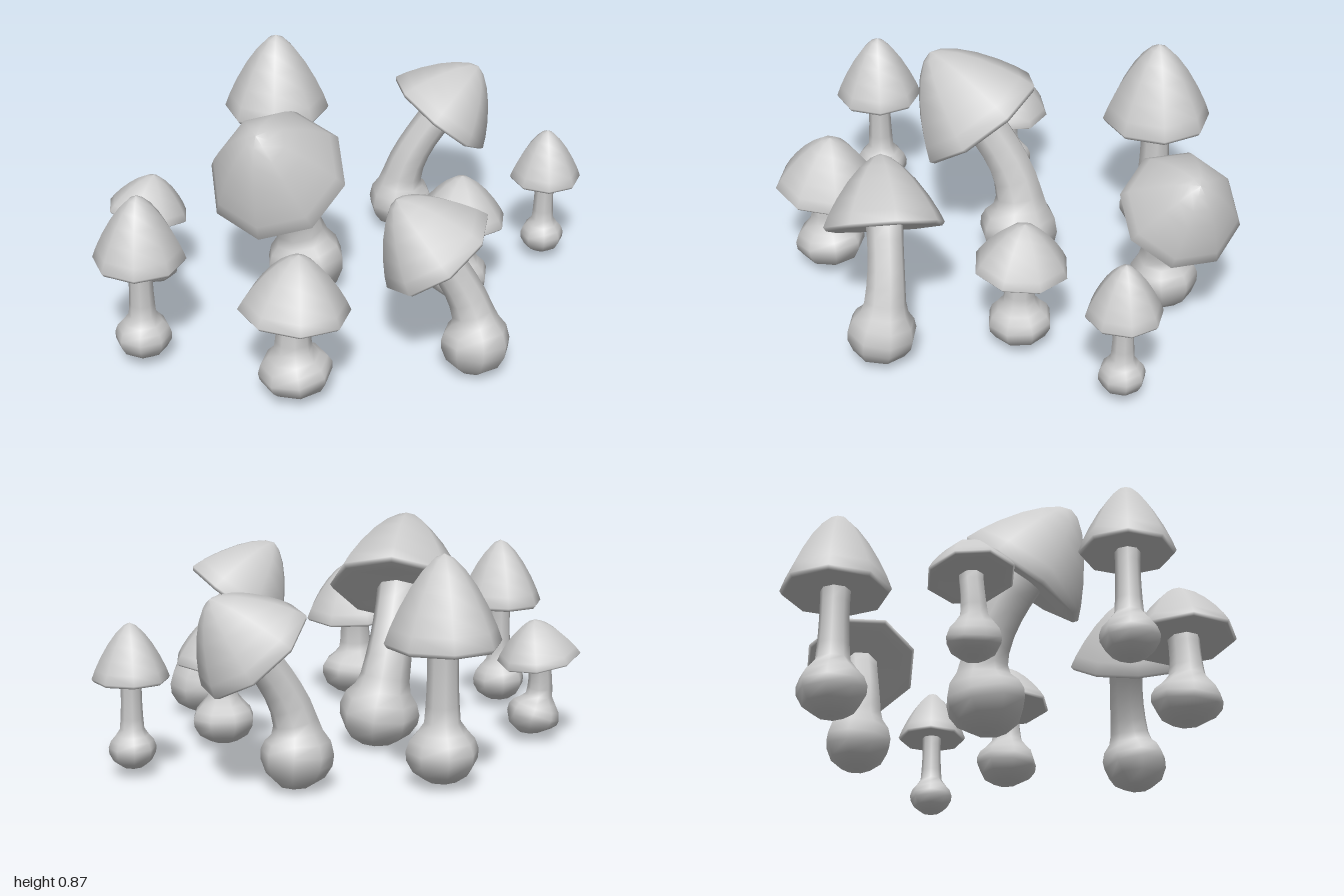
import * as THREE from 'three';

const SIDES = 8;
const UP = new THREE.Vector3(0, 1, 0);
const material = new THREE.MeshStandardMaterial({ color: 0xcccccc });

// Cap profile as [radius, height] fractions: nearly flat underside, rounded rim, then dome to the tip
const CAP = [
  [0, 0.03], [0.4, 0.02], [0.75, 0], [0.95, -0.01], [1, 0.04],
  [0.91, 0.2], [0.76, 0.41], [0.56, 0.64], [0.36, 0.82], [0.16, 0.95], [0, 1],
];

// Bulb profile as [radius, height] fractions
const BULB = [[0, 0], [0.45, 0.03], [0.8, 0.19], [0.98, 0.41], [1, 0.58], [0.9, 0.77], [0.7, 0.92]];

// One mushroom each: base and rim centre positions, axis of the cap, cap radius and height,
// bulb radius and height, stem radius, spin of the octagon
const MUSHROOMS = [
  { base: [-0.825, 0.03, -0.18], rim: [-0.825, 0.44, -0.18], axis: [0, 1, 0], cap: [0.175, 0.27], bulb: [0.108, 0.16], stem: 0.042, spin: 0 },
  { base: [-0.445, 0.035, -0.57], rim: [-0.46, 0.335, -0.597], axis: [0.2, 1, 0.05], cap: [0.164, 0.16], bulb: [0.104, 0.14], stem: 0.042, spin: 0.5 },
  { base: [-0.563, 0.028, 0.395], rim: [-0.57, 0.365, 0.39], axis: [0.1, 1, 0], cap: [0.208, 0.23], bulb: [0.139, 0.17], stem: 0.058, spin: 0.15 },
  { base: [-0.035, 0.005, -0.125], rim: [-0.195, 0.585, -0.108], axis: [-0.19, 0.275, 0.09], cap: [0.275, 0.345], bulb: [0.158, 0.25], stem: 0.078, spin: 0.48 },
  { base: [0.02, 0.015, 0.735], rim: [-0.053, 0.495, 0.612], axis: [-0.115, 0.22, -0.11], cap: [0.23, 0.275], bulb: [0.132, 0.22], stem: 0.064, spin: 0.2 },
  { base: [0.625, 0.015, -0.238], rim: [0.735, 0.52, -0.15], axis: [0.14, 0.2, 0.085], cap: [0.235, 0.265], bulb: [0.134, 0.22], stem: 0.066, spin: -0.2 },
  { base: [0.855, 0.037, 0.345], rim: [0.855, 0.37, 0.345], axis: [0, 1, 0], cap: [0.143, 0.215], bulb: [0.088, 0.135], stem: 0.036, spin: 0.05 },
  { base: [0.363, 0.028, 0.325], rim: [0.367, 0.355, 0.328], axis: [0.06, 1, -0.03], cap: [0.183, 0.19], bulb: [0.124, 0.165], stem: 0.051, spin: 0.3 },
  { base: [0.272, 0.022, -0.64], rim: [0.273, 0.53, -0.64], axis: [0, 1, 0], cap: [0.216, 0.335], bulb: [0.135, 0.205], stem: 0.054, spin: 0 },
];

// Rings of varying radius swept along a curve; profile entries are [radius, distance]
function sweep(curve, profile, spin) {
  const length = curve.getLength();
  const positions = [];
  const index = [];
  profile.forEach(([radius, distance], i) => {
    const t = Math.min(distance / length, 1);
    const centre = curve.getPointAt(t);
    const turn = new THREE.Quaternion().setFromUnitVectors(UP, curve.getTangentAt(t));
    for (let j = 0; j < SIDES; j++) {
      const a = spin + (j / SIDES) * Math.PI * 2;
      const p = new THREE.Vector3(Math.sin(a) * radius, 0, Math.cos(a) * radius);
      p.applyQuaternion(turn).add(centre);
      positions.push(p.x, p.y, p.z);
      if (i === profile.length - 1) continue;
      const k = (j + 1) % SIDES;
      const row = i * SIDES;
      const next = row + SIDES;
      index.push(row + j, row + k, next + k, row + j, next + k, next + j);
    }
  });
  const geometry = new THREE.BufferGeometry();
  geometry.setAttribute('position', new THREE.Float32BufferAttribute(positions, 3));
  geometry.setIndex(index);
  geometry.computeVertexNormals();
  return geometry;
}

function addMesh(parent, name, geometry) {
  const mesh = new THREE.Mesh(geometry, material);
  mesh.name = name;
  parent.add(mesh);
  return mesh;
}

function createMushroom({ base, rim, axis, cap, bulb, stem, spin }) {
  const group = new THREE.Group();
  group.name = 'mushroom';
  const foot = new THREE.Vector3(...base);
  const centre = new THREE.Vector3(...rim);
  const direction = new THREE.Vector3(...axis).normalize();

  // Stem and bulb: starts upright and bends into the axis of the cap
  const top = centre.clone().addScaledVector(direction, cap[1] * 0.05);
  const rise = top.y - foot.y;
  const lower = foot.clone().addScaledVector(UP, rise * 0.3);
  const upper = top.clone().addScaledVector(direction, rise * -0.7);
  const curve = new THREE.CubicBezierCurve3(foot, lower, upper, top);
  const length = curve.getLength();
  const profile = BULB.map(([r, d]) => [r * bulb[0], d * bulb[1]]);
  const start = bulb[1] * 1.1;
  for (let i = 0; i <= 5; i++) {
    const t = i / 5;
    const flare = 0.25 * (1 - t) ** 2 + 0.1 * t ** 2;
    profile.push([stem * (1 + flare), start + (length - start) * t]);
  }
  addMesh(group, 'stem', sweep(curve, profile, spin));

  // Cap: one smooth dome closed by its underside
  const points = CAP.map(([r, y]) => new THREE.Vector2(r * cap[0], y * cap[1]));
  const head = addMesh(group, 'cap', new THREE.LatheGeometry(points, SIDES));
  head.position.copy(centre);
  head.quaternion.setFromUnitVectors(UP, direction);
  head.rotateY(spin);
  return group;
}

export function createModel() {
  const model = new THREE.Group();
  model.name = 'mushrooms';
  for (const spec of MUSHROOMS) model.add(createMushroom(spec));
  return model;
}
